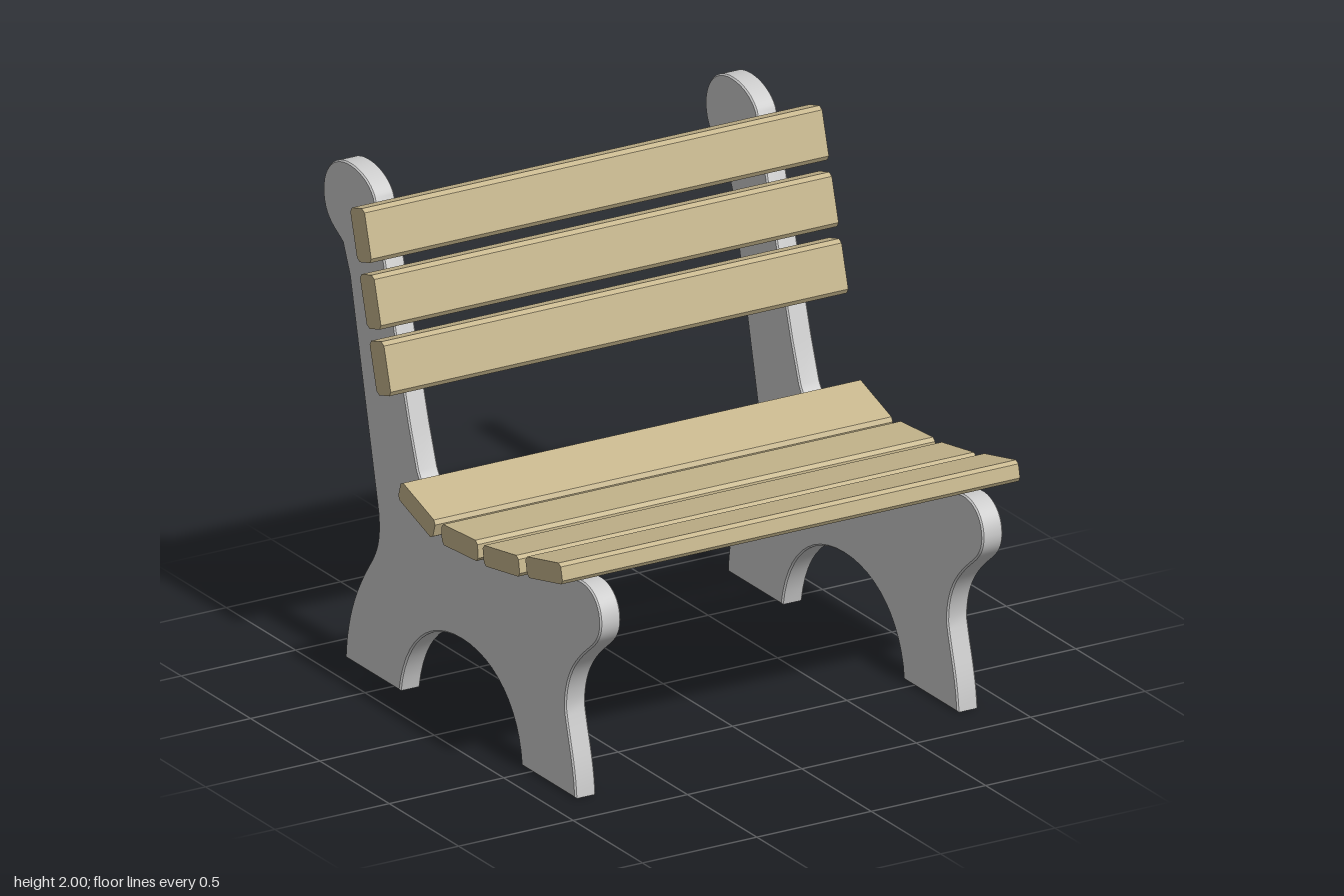
import * as THREE from 'three';
import { toCreasedNormals } from 'three/addons/utils/BufferGeometryUtils.js';

const metal = new THREE.MeshStandardMaterial({ color: 0xcccccc });
const wood = new THREE.MeshStandardMaterial({ color: 0xc6b68d });
const points = (list) => list.map(([z, y]) => new THREE.Vector2(z, y));

// Extrudes a side profile drawn in (z, y) along x, centred on x = 0
function extrudeAcross(shape, width, bevel) {
  const geometry = new THREE.ExtrudeGeometry(shape, {
    depth: width - 2 * bevel,
    bevelEnabled: bevel > 0,
    bevelThickness: bevel,
    bevelSize: bevel,
    bevelOffset: -bevel,
    bevelSegments: 1,
    curveSegments: 12,
  });
  geometry.translate(0, 0, -(width - 2 * bevel) / 2);
  geometry.rotateY(-Math.PI / 2);
  return toCreasedNormals(geometry, 0.6);
}

// Side frame: legs, scrolled seat front, and raked back post in one profile
function frameGeometry() {
  const shape = new THREE.Shape();
  shape.moveTo(0.82, 0);
  shape.bezierCurveTo(0.81, 0.14, 0.77, 0.22, 0.745, 0.34);
  shape.bezierCurveTo(0.745, 0.5, 0.85, 0.58, 0.93, 0.645);
  shape.bezierCurveTo(0.98, 0.685, 1, 0.72, 1, 0.765);
  shape.bezierCurveTo(1, 0.85, 0.92, 0.91, 0.82, 0.885);
  // dished seat rest
  shape.bezierCurveTo(0.62, 0.83, 0.25, 0.777, 0, 0.777);
  shape.bezierCurveTo(-0.15, 0.78, -0.27, 0.84, -0.32, 0.93);
  shape.lineTo(-0.377, 1.09);
  // back post with rounded head
  shape.lineTo(-0.632, 1.92);
  shape.bezierCurveTo(-0.66, 1.97, -0.73, 2, -0.81, 2);
  shape.bezierCurveTo(-0.92, 2, -1, 1.93, -1, 1.837);
  shape.bezierCurveTo(-1, 1.72, -0.91, 1.7, -0.86, 1.665);
  shape.lineTo(-0.81, 1.55);
  shape.lineTo(-0.605, 0.67);
  // rear leg
  shape.bezierCurveTo(-0.59, 0.57, -0.61, 0.52, -0.65, 0.46);
  shape.bezierCurveTo(-0.75, 0.33, -0.83, 0.2, -0.84, 0);
  shape.lineTo(-0.447, 0);
  // arch between the legs
  shape.bezierCurveTo(-0.41, 0.22, -0.24, 0.36, 0, 0.36);
  shape.bezierCurveTo(0.24, 0.36, 0.41, 0.22, 0.43, 0);
  shape.closePath();
  return extrudeAcross(shape, 0.09, 0.006);
}

// Plank with chamfered long edges
function slatGeometry(depth, height, c) {
  const z = depth / 2, y = height / 2;
  const shape = new THREE.Shape(points([
    [z, -y + c], [z, y - c], [z - c, y], [-z + c, y],
    [-z, y - c], [-z, -y + c], [-z + c, -y], [z - c, -y],
  ]));
  return extrudeAcross(shape, 2, 0);
}

export function createModel() {
  const bench = new THREE.Group();
  bench.name = 'bench';

  const add = (name, geometry, material, x, y, z, tilt = 0) => {
    const mesh = new THREE.Mesh(geometry, material);
    mesh.name = name;
    mesh.position.set(x, y, z);
    mesh.rotation.x = THREE.MathUtils.degToRad(tilt);
    bench.add(mesh);
  };

  const frame = frameGeometry();
  add('leftFrame', frame, metal, 0.835, 0, 0);
  add('rightFrame', frame, metal, -0.835, 0, 0);

  // Seat slats follow the dished rest: z, y, tilt
  const seatSlat = slatGeometry(0.262, 0.082, 0.014);
  [[0.79, 0.934, 13], [0.482, 0.867, 9.5], [0.183, 0.838, 4], [-0.127, 0.863, -18]]
    .forEach(([z, y, tilt], i) => add(`seatSlat${i + 1}`, seatSlat, wood, 0, y, z, -tilt));

  // Back slats lean along the post
  const backSlat = slatGeometry(0.107, 0.208, 0.016);
  for (let i = 0; i < 3; i++) {
    add(`backSlat${i + 1}`, backSlat, wood, 0, 1.343 + i * 0.244, -0.39 - i * 0.07, -16);
  }
  return bench;
}
